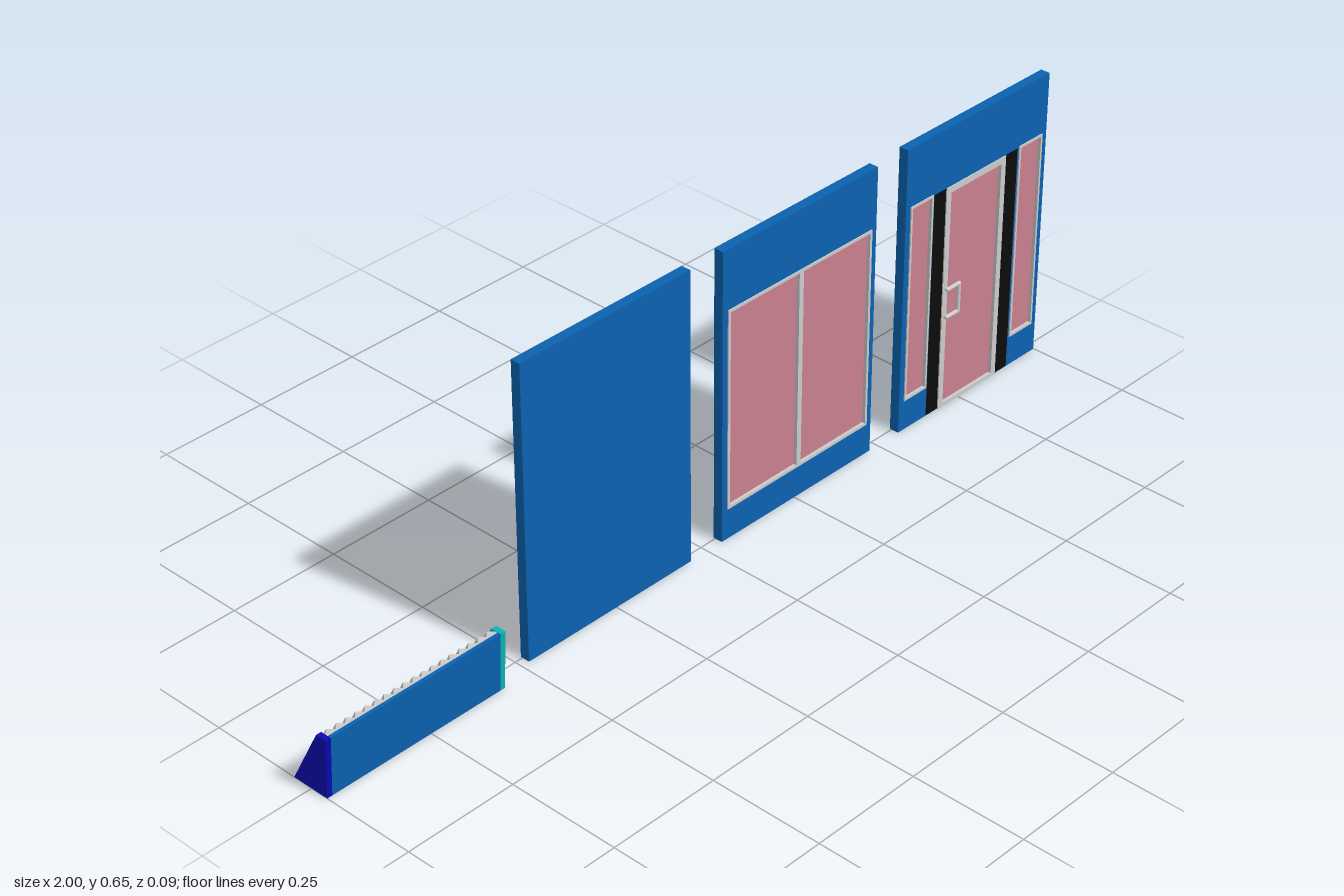
import * as THREE from 'three';

const mat = (color) => new THREE.MeshStandardMaterial({ color });
const grey = mat(0xcccccc);
const wallBlue = mat(0x0a62b0);
const teal = mat(0x0cb4b4);
const deepBlue = mat(0x0a0ab4);
const black = mat(0x0c0c0c);
const pink = mat(0xca8091);

const H = 0.652, W = 0.435;   // module height and width
const MID = 0.0063;           // centre plane of the walls
const WALL = 0.0215, FRAME = 0.0265;

function rectPath(Type, [x0, y0, x1, y1]) {
  const p = new Type();
  p.moveTo(x0, y0); p.lineTo(x1, y0); p.lineTo(x1, y1); p.lineTo(x0, y1); p.closePath();
  return p;
}

function add(group, name, geometry, material) {
  const m = new THREE.Mesh(geometry, material);
  m.name = name;
  group.add(m);
  return m;
}

// Flat slab centred on the wall plane, with rectangular holes
function slab(group, name, rect, depth, material, holes = []) {
  const s = rectPath(THREE.Shape, rect);
  s.holes = holes.map((h) => rectPath(THREE.Path, h));
  const g = new THREE.ExtrudeGeometry(s, { depth, bevelEnabled: false });
  g.translate(0, 0, MID - depth / 2);
  return add(group, name, g, material);
}

// Grey frame around one pink pane
function framedPane(group, name, [x0, y0, x1, y1], bar, bottomBar = bar) {
  const inner = [x0 + bar, y0 + bottomBar, x1 - bar, y1 - bar];
  slab(group, name + 'Frame', [x0, y0, x1, y1], FRAME, grey, [inner]);
  slab(group, name + 'Pane', inner, 0.012, pink);
}

// Round bar along a list of points, with rounded corners
function bar(group, points, r) {
  points.forEach((p, i) => {
    add(group, 'handleCorner', new THREE.SphereGeometry(r, 12, 8), grey).position.copy(p);
    if (!i) return;
    const d = p.clone().sub(points[i - 1]);
    const rod = add(group, 'handleRod', new THREE.CylinderGeometry(r, r, d.length(), 12), grey);
    rod.position.copy(p).addScaledVector(d, -0.5);
    rod.quaternion.setFromUnitVectors(new THREE.Vector3(0, 1, 0), d.normalize());
  });
}

// Low counter: leaning front board, sloped cheeks and a ribbed back
function makeCounter() {
  const g = new THREE.Group();
  g.name = 'counter';
  const x0 = -1, x1 = -0.566, h = 0.132;
  const zf0 = 0.041, zf1 = 0.048, zb0 = -0.046, zb1 = 0.023;

  // Extrudes a side profile of [z, y] points along x
  const profile = (name, pts, a, b, material) => {
    const s = new THREE.Shape(pts.map(([z, y]) => new THREE.Vector2(-z, y)));
    const geo = new THREE.ExtrudeGeometry(s, { depth: b - a, bevelEnabled: false });
    geo.rotateY(Math.PI / 2);
    geo.translate(a, 0, 0);
    add(g, name, geo, material);
  };
  const cheek = [[zf0, 0], [zf1, h], [zb1, h], [zb0, 0]];
  const t = 0.012;
  profile('rightCheek', cheek, x0, x0 + t, deepBlue);
  profile('leftCheek', cheek, x1 - t, x1, teal);
  profile('frontBoard', [[zf0, 0], [zf1, h], [zf1 - 0.008, h], [zf0 - 0.008, 0]], x0 + t, x1 - t, wallBlue);
  profile('base', [[zf0 - 0.008, 0], [zf0 - 0.008, 0.004], [zb0 + 0.014, 0.004], [zb0 + 0.012, 0]],
    x0 + t, x1 - t, wallBlue);

  // Zigzag plan extruded upwards, then sheared to follow the slope
  const n = 18, a = x0 + t, b = x1 - t, front = 0.033;
  const pts = [new THREE.Vector2(a, -front)];
  for (let i = 0; i <= 2 * n; i++) {
    pts.push(new THREE.Vector2(a + ((b - a) * i) / (2 * n), -(zb0 + (i % 2 ? 0 : 0.012))));
  }
  pts.push(new THREE.Vector2(b, -front));
  const ribs = new THREE.ExtrudeGeometry(new THREE.Shape(pts), { depth: h - 0.002, bevelEnabled: false });
  ribs.rotateX(-Math.PI / 2);
  ribs.translate(0, 0.001, 0);
  const p = ribs.attributes.position;
  for (let i = 0; i < p.count; i++) {
    const k = p.getY(i) / h, z = p.getZ(i);
    p.setZ(i, z + k * (z > 0 ? zf1 - zf0 : zb1 - zb0));
  }
  ribs.computeVertexNormals();
  add(g, 'ribbedBack', ribs, grey);
  return g;
}

function makePlainWall() {
  const g = new THREE.Group();
  g.name = 'plainWall';
  slab(g, 'wallPanel', [-0.481, 0, -0.481 + W, H], WALL, wallBlue);
  return g;
}

function makeWindowWall() {
  const g = new THREE.Group();
  g.name = 'windowWall';
  const x = 0.041, opening = [x + 0.014, 0.07, x + W - 0.014, 0.52];
  slab(g, 'wallPanel', [x, 0, x + W, H], WALL, wallBlue, [opening]);
  const mid = x + W / 2;
  framedPane(g, 'rightWindow', [opening[0], 0.07, mid, 0.52], 0.006);
  framedPane(g, 'leftWindow', [mid, 0.07, opening[2], 0.52], 0.006);
  return g;
}

function makeDoorWall() {
  const g = new THREE.Group();
  g.name = 'doorWall';
  const x0 = 0.564, x1 = x0 + W, top = 0.517;
  const d0 = 0.686, d1 = 0.869;
  const sides = [[x0 + 0.014, 0.07, 0.646, 0.52], [0.912, 0.07, x1 - 0.014, 0.52]];

  // Wall with a doorway open to the floor, flanked by two dark piers
  const s = new THREE.Shape();
  [[x0, 0], [0.65, 0], [0.65, top], [0.908, top], [0.908, 0], [x1, 0], [x1, H], [x0, H]]
    .forEach(([x, y], i) => (i ? s.lineTo(x, y) : s.moveTo(x, y)));
  s.holes = sides.map((r) => rectPath(THREE.Path, r));
  const wall = new THREE.ExtrudeGeometry(s, { depth: WALL, bevelEnabled: false });
  wall.translate(0, 0, MID - WALL / 2);
  add(g, 'wallPanel', wall, wallBlue);
  slab(g, 'rightPier', [0.65, 0, d0, top], WALL, black);
  slab(g, 'leftPier', [d1, 0, 0.908, top], WALL, black);

  framedPane(g, 'rightSidelight', sides[0], 0.005);
  framedPane(g, 'leftSidelight', sides[1], 0.005);
  framedPane(g, 'door', [d0, 0, d1, top], 0.014, 0.008);

  // Pull handles on both faces of the door
  [['frontHandle', 0.0235], ['backHandle', -0.031]].forEach(([name, z]) => {
    const handle = new THREE.Group();
    handle.name = name;
    const hx0 = 0.696, hx1 = 0.731, y0 = 0.218, y1 = 0.283;
    bar(handle, [
      [hx0, y1, MID], [hx0, y1, z], [hx1, y1, z], [hx1, y0, z], [hx0, y0, z], [hx0, y0, MID],
    ].map((v) => new THREE.Vector3(...v)), 0.0045);
    g.add(handle);
  });
  return g;
}

export function createModel() {
  const model = new THREE.Group();
  model.name = 'shopfrontModules';
  model.add(makeCounter(), makePlainWall(), makeWindowWall(), makeDoorWall());
  return model;
}
